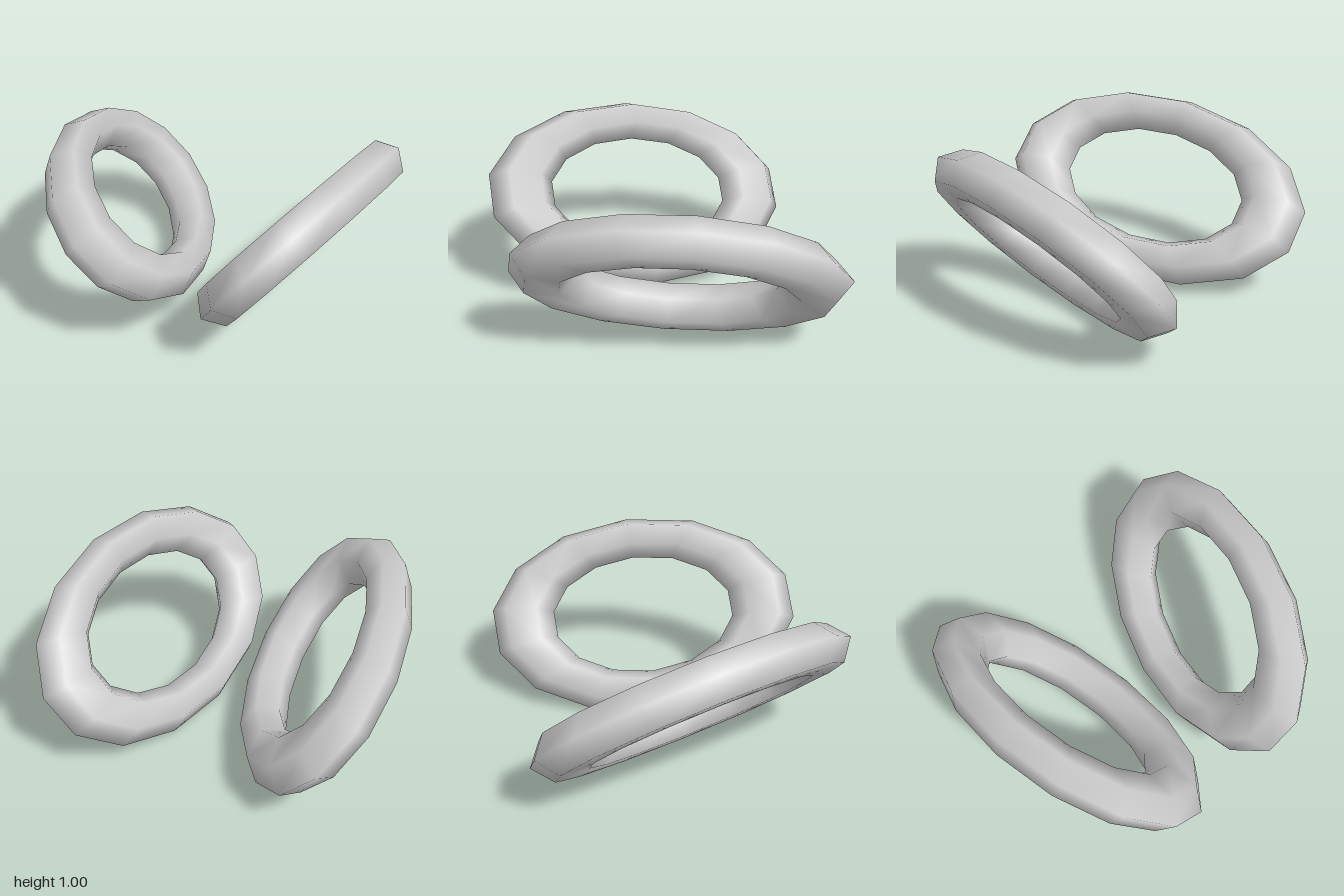
import * as THREE from 'three';

// Oval ring: a low-poly torus laid onto a long axis, a short axis and their normal
function makeRing(name, center, longAxis, shortAxis) {
  const u = new THREE.Vector3(...longAxis);
  const v = new THREE.Vector3(...shortAxis);
  const n = new THREE.Vector3().crossVectors(u, v).setLength(0.545);

  const geometry = new THREE.TorusGeometry(1, 0.255, 6, 14);
  geometry.rotateZ(Math.PI / 14); // an edge, not a corner, faces the long ends
  geometry.applyMatrix4(new THREE.Matrix4().makeBasis(u, v, n));

  const mesh = new THREE.Mesh(geometry, new THREE.MeshStandardMaterial({ color: 0xcccccc }));
  mesh.position.set(...center);
  mesh.name = name;
  return mesh;
}

export function createModel() {
  const group = new THREE.Group();
  group.name = 'ringPair';
  // The two rings lean away from each other, each slightly different
  group.add(
    makeRing('leftRing', [0.5225, 0.5, -0.007], [-0.155, 0.075, 0.733], [0.307, 0.378, 0]),
    makeRing('rightRing', [-0.52, 0.5125, -0.002], [0.112, 0.112, 0.7535], [-0.338, 0.338, 0]),
  );
  return group;
}
